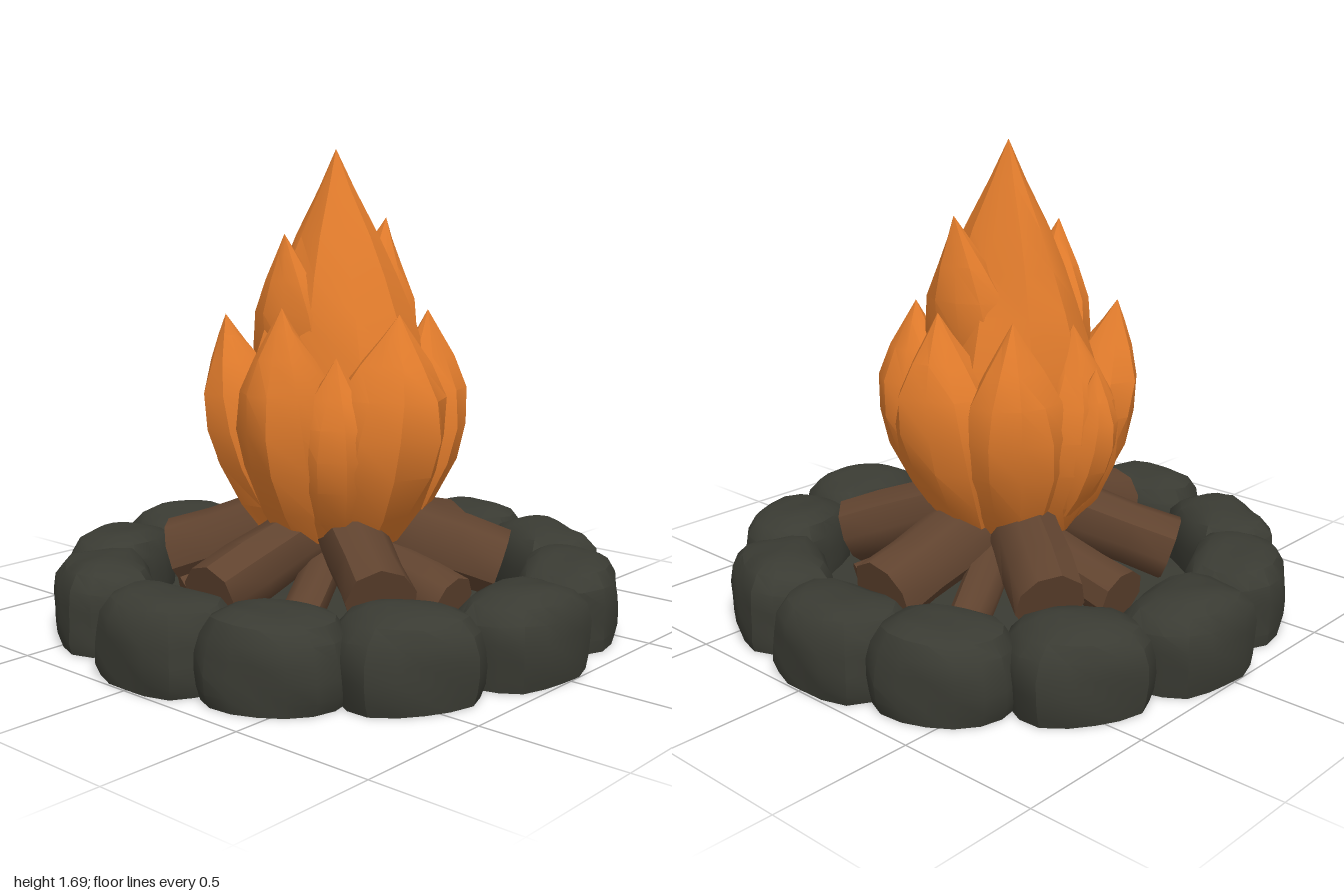
import * as THREE from 'three';
import { toCreasedNormals } from 'three/addons/utils/BufferGeometryUtils.js';

const V = (x, y, z) => new THREE.Vector3(x, y, z);

function material(name, color, options = {}) {
  const m = new THREE.MeshStandardMaterial({ color, ...options });
  m.name = name;
  return m;
}

// Move every vertex of a geometry by a rule
function reshape(geometry, rule) {
  const p = geometry.attributes.position;
  const v = new THREE.Vector3();
  for (let i = 0; i < p.count; i++) {
    v.fromBufferAttribute(p, i);
    rule(v);
    p.setXYZ(i, v.x, v.y, v.z);
  }
  return geometry;
}

// Rounded boulder with a flat underside; local x points away from the fire
function stoneGeometry(seed) {
  const power = 3.4;
  const g = reshape(new THREE.SphereGeometry(1, 16, 12), (v) => {
    const n = (Math.abs(v.x) ** power + Math.abs(v.y) ** power + Math.abs(v.z) ** power) ** (1 / power);
    v.divideScalar(n);
    const bump = 1 + 0.025 * Math.sin(4 * v.x + 3 * v.z + seed * 2.1) + 0.02 * Math.sin(5 * v.y - 4 * v.z + seed);
    const taper = v.x > 0 ? 1 - 0.1 * v.x : 1;
    v.set(v.x * 0.172 * bump, Math.max(0, 0.1 + v.y * 0.19 * bump), v.z * 0.238 * bump * taper);
  });
  return toCreasedNormals(g, 0.6);
}

// Slightly uneven log lying between two points
function logGeometry(from, to, radius, seed) {
  const length = from.distanceTo(to);
  const g = reshape(new THREE.CylinderGeometry(radius, radius, length, 9, 3), (v) => {
    const a = Math.atan2(v.z, v.x);
    const k = 1 + 0.05 * Math.sin(2 * a + seed) + 0.03 * Math.sin(v.y * 14 + seed * 3);
    v.x *= k;
    v.z *= k;
  });
  const turn = new THREE.Quaternion().setFromUnitVectors(V(0, 1, 0), to.clone().sub(from).normalize());
  g.applyQuaternion(turn);
  const mid = from.clone().lerp(to, 0.5);
  g.translate(mid.x, mid.y, mid.z);
  return toCreasedNormals(g, 0.75);
}

// Pointed tongue: a faceted lathe bent along base, belly and tip
// profile pairs are [fraction of height, fraction of radius]
const TONGUE = [[0, 0], [0.01, 0.55], [0.16, 0.82], [0.34, 0.99], [0.5, 1], [0.66, 0.86], [0.8, 0.53], [0.91, 0.23], [1, 0]];
const CORE = [[0, 0], [0.01, 0.72], [0.15, 0.94], [0.3, 1], [0.45, 0.9], [0.58, 0.74], [0.68, 0.59], [0.78, 0.42], [0.9, 0.18], [1, 0]];
function flameGeometry(base, belly, tip, radius, profile, seed, depth = 1) {
  const path = new THREE.QuadraticBezierCurve3(base, belly, tip);
  const points = profile.map(([t, r]) => new THREE.Vector2(r * radius, t));
  const g = reshape(new THREE.LatheGeometry(points, 10), (v) => {
    const a = Math.atan2(v.z, v.x);
    const t = v.y;
    const k = 1 + 0.07 * Math.sin(3 * a + seed * 1.7 + t * 4) + 0.04 * Math.sin(5 * a - seed + t * 9);
    const c = path.getPoint(t);
    v.set(c.x + v.x * k, base.y + t * (tip.y - base.y), c.z + v.z * k * depth);
  });
  return toCreasedNormals(g, 0.5);
}

export function createModel() {
  const model = new THREE.Group();
  model.name = 'campfire';
  const stone = material('dark stone', 0x3a3b33);
  const wood = material('brown wood', 0x60432f);
  const fire = material('orange flame', 0xe27c2c);

  const add = (name, geometry, mat) => {
    const mesh = new THREE.Mesh(geometry, mat);
    mesh.name = name;
    model.add(mesh);
    return mesh;
  };

  // Low ash bed closing the ring underneath
  const bed = [[0, 0], [0.84, 0], [0.8, 0.05], [0.45, 0.08], [0, 0.11]].map(([x, y]) => new THREE.Vector2(x, y));
  add('ashBed', toCreasedNormals(new THREE.LatheGeometry(bed, 24), 0.5), stone);

  // Ring of twelve stones, angles in degrees from +x toward +z
  [-1, 30, 61, 92, 123, 152, 180, 214, 242, 272, 302, 332].forEach((degrees, i) => {
    const a = THREE.MathUtils.degToRad(degrees);
    const mesh = add('ringStone', stoneGeometry(i), stone);
    mesh.position.set(Math.cos(a) * 0.83, 0, Math.sin(a) * 0.83);
    mesh.rotation.y = -a;
  });

  // Logs leaning inward
  const addLog = (name, degrees, reach, outerY, innerY, radius, seed) => {
    const a = THREE.MathUtils.degToRad(degrees);
    const at = (r, y) => V(Math.cos(a) * r, y, Math.sin(a) * r);
    add(name, logGeometry(at(reach, outerY), at(0.14, innerY), radius, seed), wood);
  };
  [0, 56, 124, 180, 236, 304].forEach((d, i) => {
    const side = d % 180 === 0;
    addLog('largeLog', d, side ? 0.63 : 0.59, side ? 0.215 : 0.23, side ? 0.35 : 0.38, 0.122, i);
  });
  [90, 270].forEach((d, i) => addLog('middleLog', d, 0.53, 0.16, 0.25, 0.1, i + 7));
  [28, 152, 208, 332].forEach((d, i) => addLog('smallLog', d, 0.56, 0.14, 0.26, 0.07, i + 10));

  // Tall central flame
  add('coreFlame', flameGeometry(V(0, 0.33, 0), V(0, 1, 0), V(0, 1.69, 0), 0.325, CORE, 1, 1.12), fire);

  // Upper side tongues
  [[0.24, 1.45, 0.03], [-0.21, 1.4, -0.05]].forEach(([x, y, z], i) => {
    const s = Math.sign(x);
    add('upperFlame', flameGeometry(V(s * 0.06, 0.6, z), V(s * 0.13, 1.05, z), V(x, y, z), 0.14, TONGUE, i + 2, 1.25), fire);
  });

  // Outer ring of tongues: tip x, y, z and radius
  const outer = [
    [-0.1, 1.14, 0.37, 0.225],
    [0.22, 1.13, 0.24, 0.18],
    [0.35, 1.14, 0, 0.19],
    [0.23, 1.12, -0.23, 0.18],
    [-0.02, 1.08, -0.28, 0.17],
    [-0.3, 1.12, -0.25, 0.17],
    [-0.34, 1.16, 0.06, 0.19],
    [-0.27, 1.0, 0.24, 0.16],
  ];
  outer.forEach(([x, y, z, radius], i) => {
    const r = Math.hypot(x, z);
    const at = (d, h) => V((x / r) * d, h, (z / r) * d);
    add('outerFlame', flameGeometry(at(0.16, 0.32), at(0.32, 0.7), V(x, y, z), radius, TONGUE, i + 4), fire);
  });

  // Small lick at the back
  add('backFlame', flameGeometry(V(0, 0.4, -0.25), V(-0.02, 0.7, -0.38), V(0, 0.95, -0.4), 0.11, TONGUE, 13), fire);

  return model;
}
